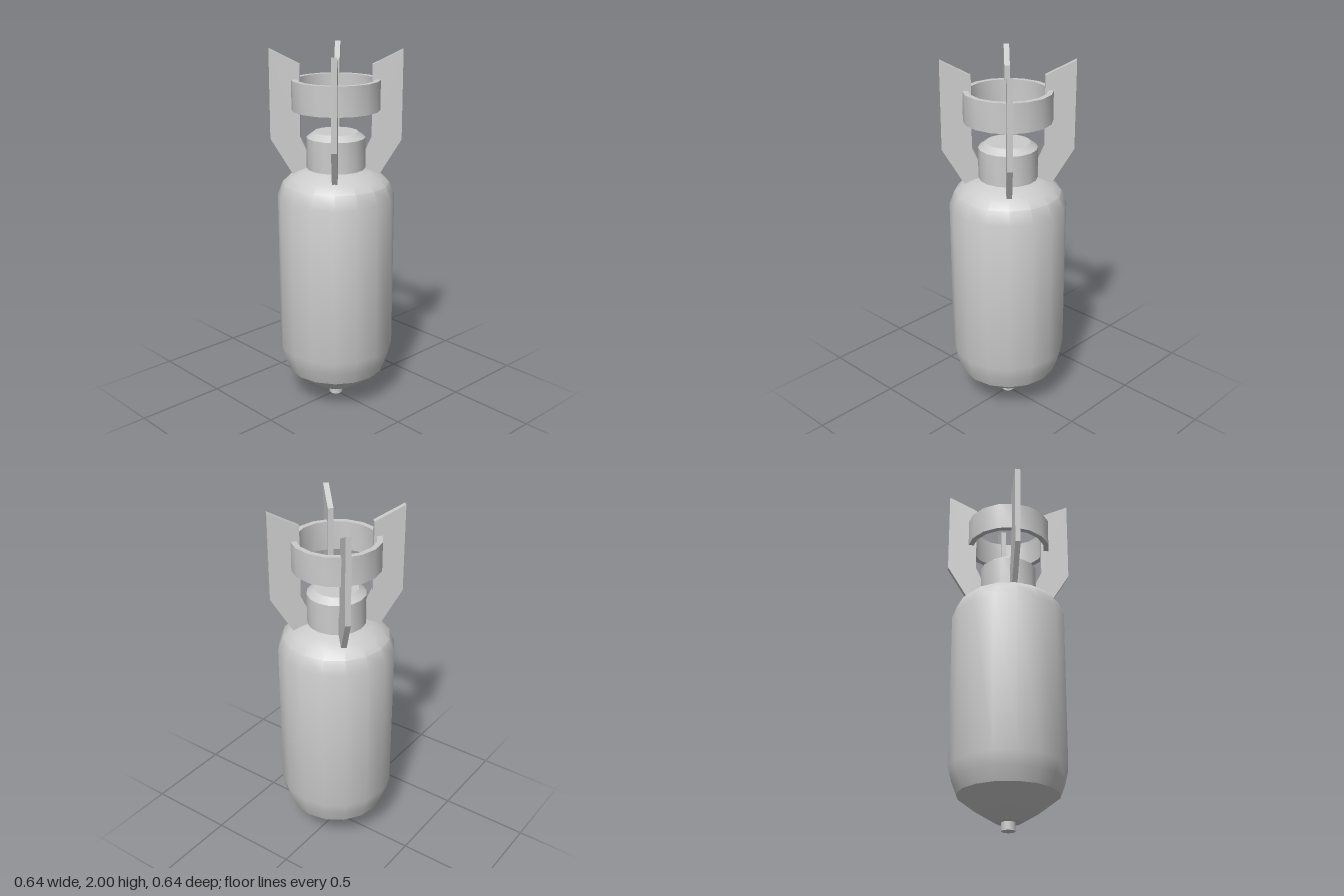
import * as THREE from 'three';
import { toCreasedNormals } from 'three/addons/utils/BufferGeometryUtils.js';

const SIDES = 16;
const material = new THREE.MeshStandardMaterial({ color: 0xcccccc });
const points = (list) => list.map(([r, y]) => new THREE.Vector2(r, y));

// Turned part from a [radius, height] profile, running bottom to top on the outside
function turned(name, profile) {
  const geometry = new THREE.LatheGeometry(points(profile), SIDES);
  const mesh = new THREE.Mesh(toCreasedNormals(geometry, THREE.MathUtils.degToRad(30)), material);
  mesh.name = name;
  return mesh;
}

export function createModel() {
  const model = new THREE.Group();
  model.name = 'finnedBomb';

  // Casing with conical nose and rounded shoulder
  model.add(turned('casing', [
    [0, 0.045], [0.07, 0.045], [0.18, 0.112], [0.275, 0.185], [0.302, 0.255], [0.32, 0.33],
    [0.32, 1.205], [0.292, 1.28], [0.25, 1.32], [0.2, 1.345], [0.16, 1.36],
  ]));

  // Small fuse at the nose tip
  model.add(turned('noseFuse', [[0, 0], [0.038, 0], [0.038, 0.05], [0, 0.05]]));

  // Tail neck with chamfered top
  model.add(turned('tailNeck', [[0.16, 1.35], [0.16, 1.53], [0.12, 1.56], [0, 1.56]]));

  // Stabiliser ring joining the fins
  model.add(turned('tailRing', [[0.24, 1.68], [0.24, 1.84], [0.21, 1.84], [0.21, 1.68], [0.24, 1.68]]));

  // Four diagonal fins
  const thickness = 0.03;
  const outline = new THREE.Shape(points([
    [0.235, 1.325], [0.353, 1.52], [0.353, 2], [0.192, 1.92], [0.192, 1.53], [0.16, 1.46], [0.16, 1.355],
  ]));
  const finGeometry = new THREE.ExtrudeGeometry(outline, { depth: thickness, bevelEnabled: false });
  finGeometry.translate(0, 0, -thickness / 2);
  const fins = new THREE.Group();
  fins.name = 'tailFins';
  for (let i = 0; i < 4; i++) {
    const fin = new THREE.Mesh(finGeometry, material);
    fin.name = `tailFin${i + 1}`;
    fin.rotation.y = Math.PI / 4 + (i * Math.PI) / 2;
    fins.add(fin);
  }
  model.add(fins);

  return model;
}
